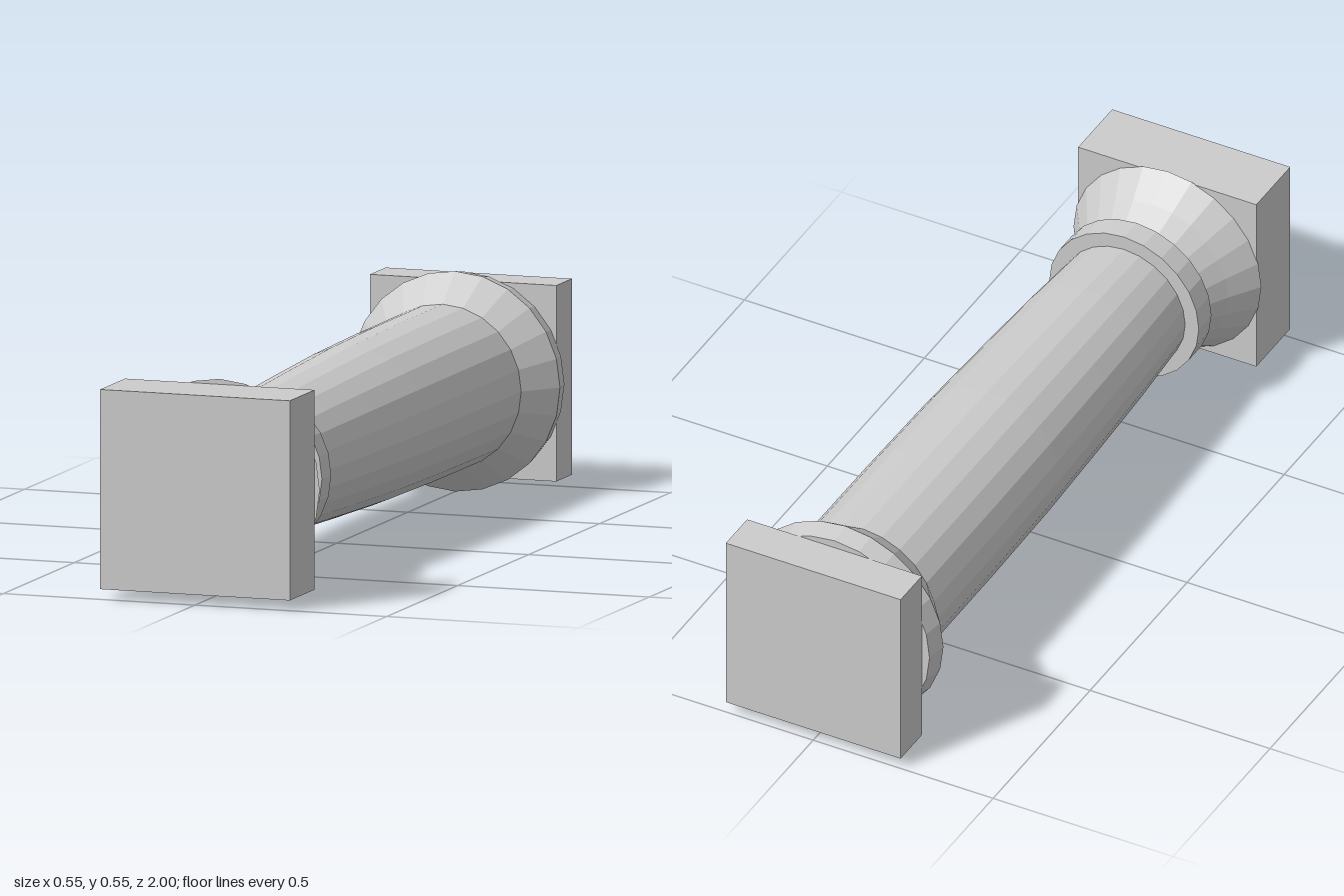
import * as THREE from 'three';

const AXIS_Y = 0.274;
const SIDES = 24;

export function createModel() {
  const group = new THREE.Group();
  group.name = 'column';
  const stone = new THREE.MeshStandardMaterial({ color: 0xcccccc });
  stone.name = 'grey stone';
  stone.flatShading = true;

  const add = (name, geometry, z = 0) => {
    const mesh = new THREE.Mesh(geometry, stone);
    mesh.name = name;
    mesh.position.set(0, AXIS_Y, z);
    group.add(mesh);
  };

  // Turned part lying along z; profile is a list of [z, radius] from back to front
  const turned = (name, profile) => {
    const points = profile.map(([z, r]) => new THREE.Vector2(r, z));
    add(name, new THREE.LatheGeometry(points, SIDES).rotateX(Math.PI / 2));
  };

  // Square end blocks
  add('basePlinth', new THREE.BoxGeometry(0.495, 0.495, 0.175), 0.9125);
  add('topSlab', new THREE.BoxGeometry(0.486, 0.486, 0.11), -0.945);

  // Wide collar at the back, with a closed end
  turned('backCollar', [[-0.89, 0], [-0.89, 0.264], [-0.835, 0.273], [-0.745, 0.205]]);

  // Gently swelling shaft
  turned('shaft', [[-0.745, 0.205], [-0.4, 0.204], [-0.1, 0.2], [0.2, 0.19], [0.4, 0.182], [0.605, 0.17]]);

  // Raised ring
  turned('ring', [[0.602, 0.16], [0.602, 0.208], [0.667, 0.208], [0.667, 0.15]]);

  // Flared foot meeting the front block
  turned('frontFlare', [[0.665, 0.16], [0.75, 0.21], [0.826, 0.261], [0.826, 0]]);

  return group;
}
